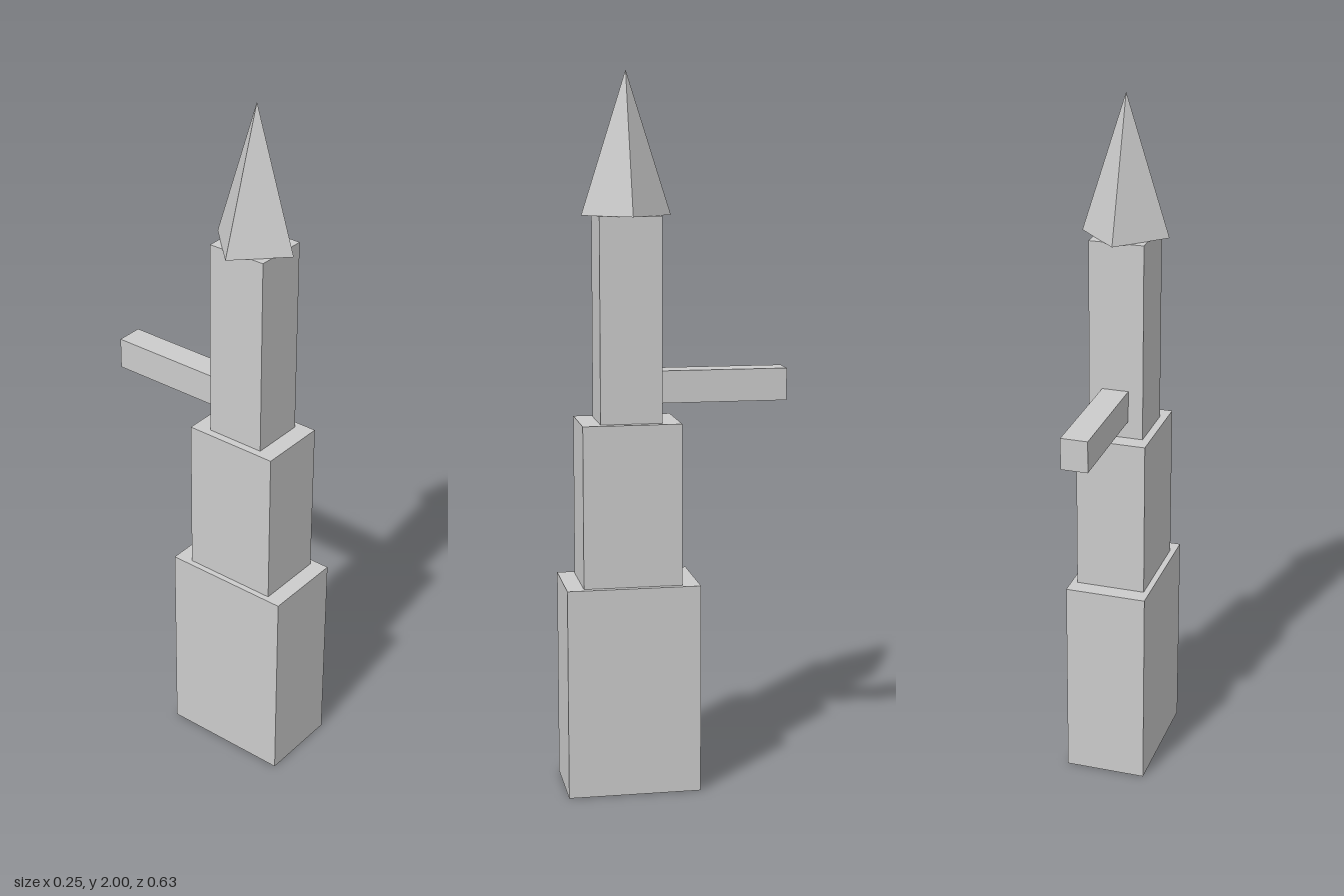
import * as THREE from 'three';

export function createModel() {
  const group = new THREE.Group();
  group.name = 'tower';
  const stone = new THREE.MeshStandardMaterial({ color: 0xcccccc });
  stone.name = 'lightGrey';

  // Box given by its half width and its y and z limits
  function block(name, halfWidth, y0, y1, z0, z1, x = 0) {
    const mesh = new THREE.Mesh(new THREE.BoxGeometry(halfWidth * 2, y1 - y0, z1 - z0), stone);
    mesh.name = name;
    mesh.position.set(x, (y0 + y1) / 2, (z0 + z1) / 2);
    group.add(mesh);
  }

  // Three stepped tiers
  block('baseTier', 0.117, 0, 0.592, -0.058, 0.315);
  block('middleTier', 0.1, 0.592, 1.045, -0.008, 0.267);
  block('upperTier', 0.078, 1.045, 1.61, 0.043, 0.215);

  // Beam reaching out of the back
  block('rearBeam', 0.038, 1.095, 1.185, -0.315, 0.06, 0.002);

  // Four-sided spire, corners pointing along x and z
  const spireGeometry = new THREE.ConeGeometry(0.124, 0.39, 4).toNonIndexed();
  spireGeometry.computeVertexNormals();
  const spire = new THREE.Mesh(spireGeometry, stone);
  spire.name = 'spire';
  spire.position.set(0, 1.805, 0.13);
  group.add(spire);

  return group;
}
